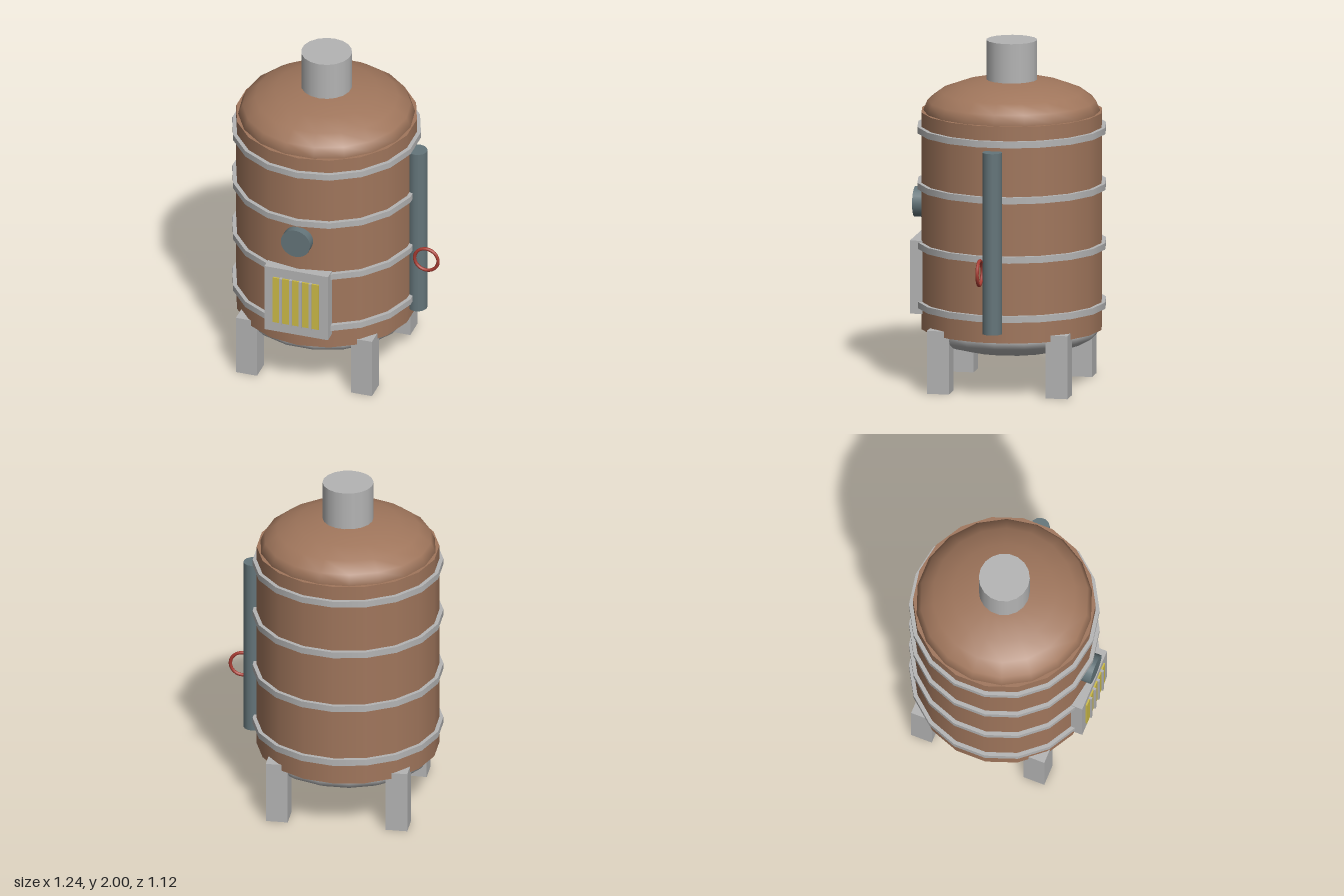
import * as THREE from 'three';

const mat = (name, color) => {
  const m = new THREE.MeshStandardMaterial({ color });
  m.name = name;
  return m;
};

export function createModel() {
  const group = new THREE.Group();
  const copper = mat('copper', 0xa0765c);
  const steel = mat('steel grey', 0xb4b4b4);
  const slate = mat('slate', 0x64757a);
  const red = mat('valve red', 0xa83c32);
  const yellow = mat('fire yellow', 0xcdbb48);

  const add = (name, geometry, material, x, y, z) => {
    const mesh = new THREE.Mesh(geometry, material);
    mesh.name = name;
    mesh.position.set(x, y, z);
    group.add(mesh);
    return mesh;
  };
  const cyl = (r, h, n = 18) => new THREE.CylinderGeometry(r, r, h, n);
  const box = (w, h, d) => new THREE.BoxGeometry(w, h, d);
  const CX = -0.085, CZ = -0.017; // tank axis

  // Tank shell with domed ends
  add('tank', cyl(0.522, 1.26), copper, CX, 0.96, CZ);
  const half = (start) => new THREE.SphereGeometry(0.506, 18, 5, 0, Math.PI * 2, start, Math.PI / 2);
  add('topDome', half(0).scale(1, 0.19 / 0.506, 1), copper, CX, 1.59, CZ);
  add('bottomDome', half(Math.PI / 2).scale(1, 0.14 / 0.506, 1), steel, CX, 0.33, CZ);
  add('chimney', cyl(0.146, 0.25), steel, CX, 1.875, CZ);

  // Hoops around the tank
  for (const y of [0.473, 0.818, 1.163, 1.488]) {
    add('band', cyl(0.545, 0.037), steel, CX, y, CZ);
  }

  // Four square legs
  for (const sx of [-1, 1]) {
    for (const sz of [-1, 1]) {
      add('leg', box(0.127, 0.366, 0.127), steel, CX + sx * 0.346, 0.183, CZ + sz * 0.346);
    }
  }

  // Side pipe and valve wheel
  add('sidePipe', cyl(0.057, 1.055, 14), slate, 0.463, 0.918, CZ);
  add('valveWheel', new THREE.TorusGeometry(0.071, 0.01, 8, 24), red, 0.535, 0.755, 0.042);

  // Round gauge on the front
  add('gauge', cyl(0.088, 0.09, 24).rotateX(Math.PI / 2), slate, CX, 1.038, 0.502);

  // Firebox with glowing grate and bars
  add('firebox', box(0.382, 0.425, 0.1), steel, CX + 0.002, 0.633, 0.488);
  add('fireGlow', box(0.277, 0.3, 0.009), yellow, CX + 0.002, 0.634, 0.5425);
  for (const x of [-0.172, -0.112, -0.054, 0.006]) {
    add('grateBar', box(0.015, 0.308, 0.022), steel, x, 0.634, 0.546);
  }

  return group;
}
